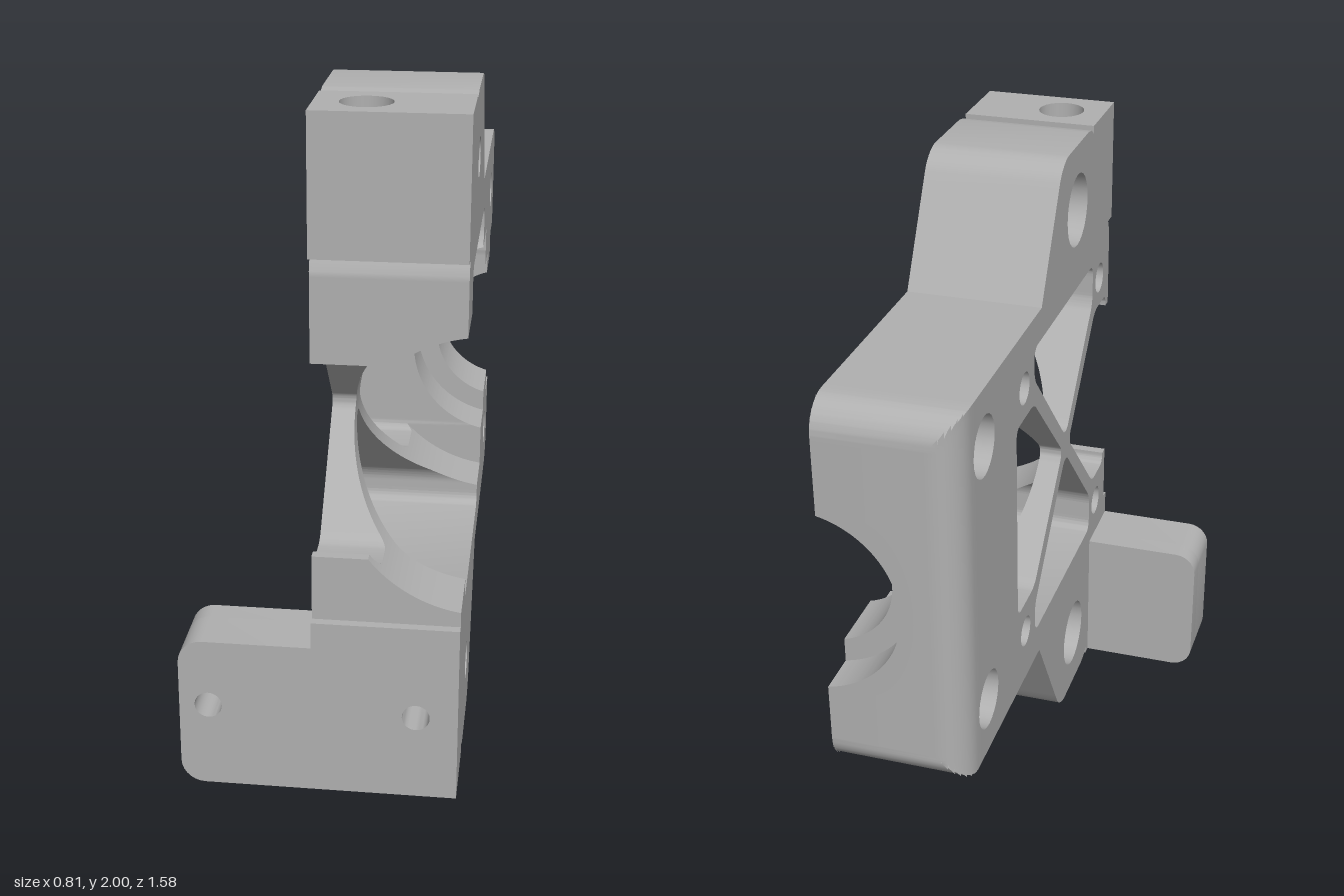
import * as THREE from 'three';
import { toCreasedNormals } from 'three/addons/utils/BufferGeometryUtils.js';

const BACK = -0.02, MOUTH = 0.4;          // flat faces of the body in x
const AXIS_X = 0.46, AXIS_Y = 0.995;      // bore axis, running along z
const BORES = [[-0.285, 0.41], [-0.445, 0.285], [-0.655, 0.22], [-9, 0.295]]; // [lower z, radius]
const EDGE_Z = -0.69, EDGE_R = 0.1;       // rounded rear edge
const SEG = 24;

// x of the inner face: flat mouth, hollowed by the stepped bore
function innerX(z, y) {
  const r = BORES.find((b) => z > b[0])[1], d = y - AXIS_Y;
  return Math.abs(d) >= r ? MOUTH : Math.min(MOUTH, AXIS_X - Math.sqrt(r * r - d * d));
}
// x of the outer face, with the rounded rear edge
function outerX(z) {
  const d = Math.min(EDGE_R, Math.max(0, EDGE_Z - z));
  return BACK + EDGE_R - Math.sqrt(EDGE_R * EDGE_R - d * d);
}

// closed outline from [z, y, corner trim]
function outline(pts) {
  const out = [], n = pts.length;
  pts.forEach(([z, y, t], i) => {
    const p = new THREE.Vector2(z, y);
    if (!t) return out.push(p);
    const toward = (q, d) => p.clone().add(new THREE.Vector2(q[0] - z, q[1] - y).setLength(d));
    const a = pts[(i + n - 1) % n], b = pts[(i + 1) % n];
    out.push(...new THREE.CubicBezierCurve(toward(a, t), toward(a, t * 0.45), toward(b, t * 0.45), toward(b, t)).getPoints(7));
  });
  return out;
}
const circle = (z, y, r) => Array.from({ length: SEG }, (_, i) => {
  const a = (i / SEG) * Math.PI * 2;
  return new THREE.Vector2(z + r * Math.cos(a), y + r * Math.sin(a));
});

function buildBody(contours, innerHoles, outerHoles) {
  const pos = [];
  const quad = (a, b, c, d) => pos.push(...a, ...b, ...c, ...a, ...c, ...d);

  // strip boundaries in y and band boundaries in z
  let ys = [...contours, ...innerHoles, ...outerHoles].flat().map((p) => p.y);
  for (const [, r] of BORES) {
    const m = Math.acos(0.06 / r);
    for (let i = -20; i <= 20; i++) ys.push(AXIS_Y + r * Math.sin((m * i) / 20));
  }
  ys = ys.sort((a, b) => a - b).filter((y, i, l) => i === 0 || y - l[i - 1] > 1e-5);
  const zs = [-0.285, -0.445, -0.655];
  for (let i = 0; i <= 8; i++) zs.push(EDGE_Z - EDGE_R * Math.sin((i / 8) * Math.PI / 2));
  zs.push(-2, 2);
  zs.sort((a, b) => a - b);

  // faces across x, one y strip at a time
  function cap(loops, inner) {
    for (let s = 0; s + 1 < ys.length; s++) {
      const y0 = ys[s], y1 = ys[s + 1], ym = (y0 + y1) / 2, hits = [];
      for (const loop of loops) loop.forEach((p, i) => {
        const q = loop[(i + 1) % loop.length];
        if ((p.y > ym) === (q.y > ym)) return;
        const at = (y) => p.x + (q.x - p.x) * (y - p.y) / (q.y - p.y);
        hits.push([at(y0), at(y1), at(ym)]);
      });
      hits.sort((a, b) => a[2] - b[2]);
      for (let h = 0; h + 1 < hits.length; h += 2) {
        const l = hits[h], r = hits[h + 1];
        for (let k = 0; k + 1 < zs.length; k++) {
          const lo = zs[k], hi = zs[k + 1], c = (z) => Math.min(hi, Math.max(lo, z));
          const zm = (lo + hi) / 2;
          const x = (z, y) => (inner ? innerX(zm, y) : outerX(z));
          const v = (z, y) => [x(c(z), y), y, c(z)];
          if (c(r[0]) - c(l[0]) < 1e-6 && c(r[1]) - c(l[1]) < 1e-6) continue;
          const f = [v(l[0], y0), v(l[1], y1), v(r[1], y1), v(r[0], y0)];
          quad(...(inner ? f : f.reverse()));
          // shoulder between bore steps
          if (inner && lo > l[2] && lo < r[2]) {
            const zb = (zs[k - 1] + lo) / 2;
            const A = (y) => [innerX(zm, y), y, lo], B = (y) => [innerX(zb, y), y, lo];
            if (Math.abs(A(ym)[0] - B(ym)[0]) > 1e-6) quad(A(y0), B(y0), B(y1), A(y1));
          }
        }
      }
    }
  }
  cap([...contours, ...innerHoles], true);
  cap([...contours, ...outerHoles], false);

  // walls along the contours; the drilled end faces are added separately
  const drilled = (p, q) => (p.x > 0.535 && q.x > 0.535 && p.y === q.y && (p.y === 2 || p.y === 0)) ||
    (p.x === 0.79 && q.x === 0.79 && p.y < 0.6 && q.y < 0.6);
  for (const loop of contours) loop.forEach((p, i) => {
    const q = loop[(i + 1) % loop.length];
    if (drilled(p, q)) return;
    const ts = [0, 1];
    const split = (a, b, cuts) => cuts.forEach((c) => {
      const t = (c - a) / (b - a);
      if (t > 1e-4 && t < 1 - 1e-4) ts.push(t);
    });
    split(p.y, q.y, ys);
    split(p.x, q.x, zs);
    ts.sort((a, b) => a - b);
    for (let k = 0; k + 1 < ts.length; k++) {
      const a = p.clone().lerp(q, ts[k]), b = p.clone().lerp(q, ts[k + 1]), zm = (a.x + b.x) / 2;
      const O = (v) => [outerX(v.x), v.y, v.x], I = (v) => [innerX(zm, v.y), v.y, v.x];
      quad(O(a), I(a), I(b), O(b));
    }
  });
  const g = new THREE.BufferGeometry();
  g.setAttribute('position', new THREE.Float32BufferAttribute(pos, 3));
  return toCreasedNormals(g, 0.5);
}

export function createModel() {
  const group = new THREE.Group();
  const grey = new THREE.MeshStandardMaterial({ color: 0xb0b0b0, side: THREE.DoubleSide });
  grey.name = 'grey';
  const add = (name, geo) => {
    const m = new THREE.Mesh(geo, grey);
    m.name = name;
    group.add(m);
    return m;
  };
  // turned hole lining from [radius, height]
  const lining = (profile) => toCreasedNormals(
    new THREE.LatheGeometry(profile.map((p) => new THREE.Vector2(...p)), SEG).toNonIndexed(), 0.6);
  // rectangle with one round hole
  const plate = (x0, x1, y0, y1, hx, hy, r) => {
    const s = new THREE.Shape([[x0, y0], [x1, y0], [x1, y1], [x0, y1]].map((p) => new THREE.Vector2(...p)));
    s.holes.push(new THREE.Path().absarc(hx, hy, r, 0, Math.PI * 2, true));
    return s;
  };

  // side outline and cross-brace windows
  const side = outline([
    [0.79, 2], [0.54, 2], [0.54, 1.975], [0.515, 1.993], [0.48, 2], [0.19, 2, 0.065], [-0.03, 1.63],
    [-0.79, 1.63, 0.1], [-0.79, 0.42, 0.1], [-0.055, 0.42], [0.195, 0, 0.065], [0.48, 0], [0.515, 0.007],
    [0.54, 0.025], [0.54, 0], [0.79, 0], [0.79, 0.545], [0.762, 0.545], [0.762, 0.74], [0.731, 0.74],
    [0.731, 0.703, 0.03], [0.59, 0.703, 0.03], [0.28, 1.026, 0.035], [0.59, 1.352, 0.03],
    [0.731, 1.352, 0.03], [0.731, 1.312], [0.762, 1.312], [0.762, 1.57], [0.745, 1.61], [0.79, 1.61],
  ]);
  const upper = [[-0.105, 1.53, 0.035], [0.557, 1.53, 0.035], [0.557, 1.395, 0.03], [0.243, 1.06, 0.045], [-0.105, 1.43, 0.03]];
  const lower = upper.map(([z, y, t]) => [z, 2.055 - y, t]).reverse();
  const rear = [[-0.286, 1.352, 0.03], [-0.11, 1.352, 0.03], [0.207, 1.026, 0.035], [-0.11, 0.703, 0.03], [-0.286, 0.703, 0.03]];

  // [z, y, counterbore radius]
  const bolts = [[0.36, 1.79, 0.115], [0.36, 0.21, 0.115], [-0.58, 1.455, 0.092], [-0.58, 0.6, 0.092]];
  const screws = [[0.642, 1.45], [0.642, 0.595], [-0.205, 1.45], [-0.205, 0.595]];
  add('body', buildBody([side, ...[upper, lower, rear].map(outline)],
    bolts.map(([z, y]) => circle(z, y, 0.058)),
    [...bolts.map((b) => circle(...b)), ...screws.map(([z, y]) => circle(z, y, 0.05))]));

  for (const [z, y, r] of bolts) {
    add('boltHole', lining([[0.058, MOUTH], [0.058, 0.16], [r, 0.16], [r, BACK]]).rotateZ(-Math.PI / 2)).position.set(0, y, z);
  }
  for (const [z, y] of screws) {
    add('screwHole', lining([[0, 0.2], [0.05, 0.2], [0.05, BACK]]).rotateZ(-Math.PI / 2)).position.set(0, y, z);
  }

  // drilled top and bottom ends
  for (const s of [1, -1]) {
    const face = new THREE.ShapeGeometry(plate(BACK, MOUTH, -s * 0.79, -s * 0.54, 0.12, -s * 0.665, 0.072));
    add('endFace', face.rotateX(-s * Math.PI / 2)).position.y = 1 + s;
    add('endHole', lining([[0, -0.25], [0.072, -0.25], [0.072, 0]]).rotateX(s > 0 ? 0 : Math.PI)).position.set(0.12, 1 + s, 0.665);
  }

  // drilled lower front face
  add('frontFace', new THREE.ShapeGeometry(plate(BACK, MOUTH, 0, 0.545, 0.28, 0.26, 0.04))).position.z = 0.79;
  add('frontHole', lining([[0, -0.15], [0.04, -0.15], [0.04, 0]]).rotateX(Math.PI / 2)).position.set(0.28, 0.26, 0.79);

  // side flange with a blind hole
  const flange = (hole) => {
    const s = new THREE.Shape(outline([[BACK, 0], [BACK, 0.465], [-0.405, 0.465, 0.07], [-0.405, 0, 0.07]]));
    if (hole) s.holes.push(new THREE.Path().absarc(-0.32, 0.26, 0.04, 0, Math.PI * 2, true));
    return s;
  };
  [[0.57, 0.07, false], [0.64, 0.15, true]].forEach(([z, depth, hole]) => {
    const g = new THREE.ExtrudeGeometry(flange(hole), { depth, bevelEnabled: false });
    add('flange', toCreasedNormals(g, 0.5)).position.z = z;
  });
  return group;
}
